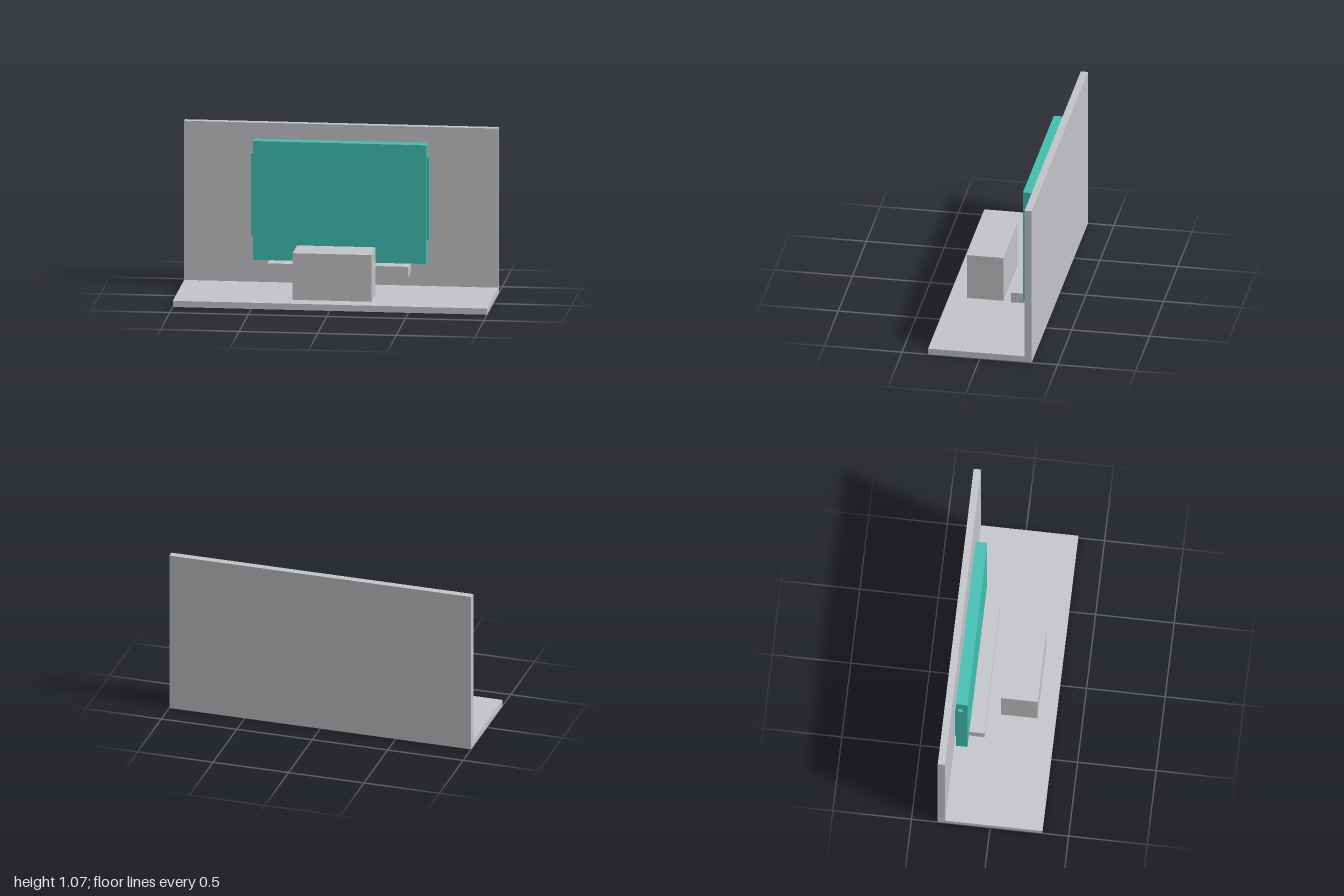
import * as THREE from 'three';

const grey = new THREE.MeshStandardMaterial({ color: 0xc5c6ca });
grey.name = 'light grey';
const teal = new THREE.MeshStandardMaterial({ color: 0x41c1b3 });
teal.name = 'teal';

// Box centred on x, given its half width and its y and z ranges
function block(name, material, halfWidth, [y0, y1], [z0, z1]) {
  const mesh = new THREE.Mesh(new THREE.BoxGeometry(halfWidth * 2, y1 - y0, z1 - z0), material);
  mesh.position.set(0, (y0 + y1) / 2, (z0 + z1) / 2);
  mesh.name = name;
  return mesh;
}

export function createModel() {
  const model = new THREE.Group();
  model.name = 'screenStand';

  // Floor and back wall: one L-shaped section (z, y) swept along x
  const section = new THREE.Shape([
    [-0.333, 0], [0.333, 0], [0.333, 0.04], [-0.287, 0.04], [-0.287, 1.07], [-0.333, 1.07],
  ].map(([z, y]) => new THREE.Vector2(-z, y)));
  const shell = new THREE.ExtrudeGeometry(section, { depth: 2, bevelEnabled: false });
  shell.translate(0, 0, -1).rotateY(Math.PI / 2);
  const base = new THREE.Mesh(shell, grey);
  base.name = 'floorAndBackWall';
  model.add(base);

  // Counter in front, and the shelf carrying the screen
  model.add(block('counter', grey, 0.25, [0.04, 0.342], [-0.015, 0.217]));
  model.add(block('shelf', grey, 0.448, [0.135, 0.202], [-0.247, -0.099]));

  // Screen with a thin raised plate on its back
  model.add(block('screen', teal, 0.55, [0.202, 0.97], [-0.268, -0.195]));
  model.add(block('screenBackPlate', teal, 0.545, [0.38, 0.857], [-0.274, -0.268]));

  // Strips on both sides of the screen
  for (const side of [1, -1]) {
    const strip = block(side > 0 ? 'leftStrip' : 'rightStrip', teal, 0.0085, [0.351, 0.886], [-0.255, -0.223]);
    strip.position.x = side * 0.5585;
    model.add(strip);
  }
  return model;
}
